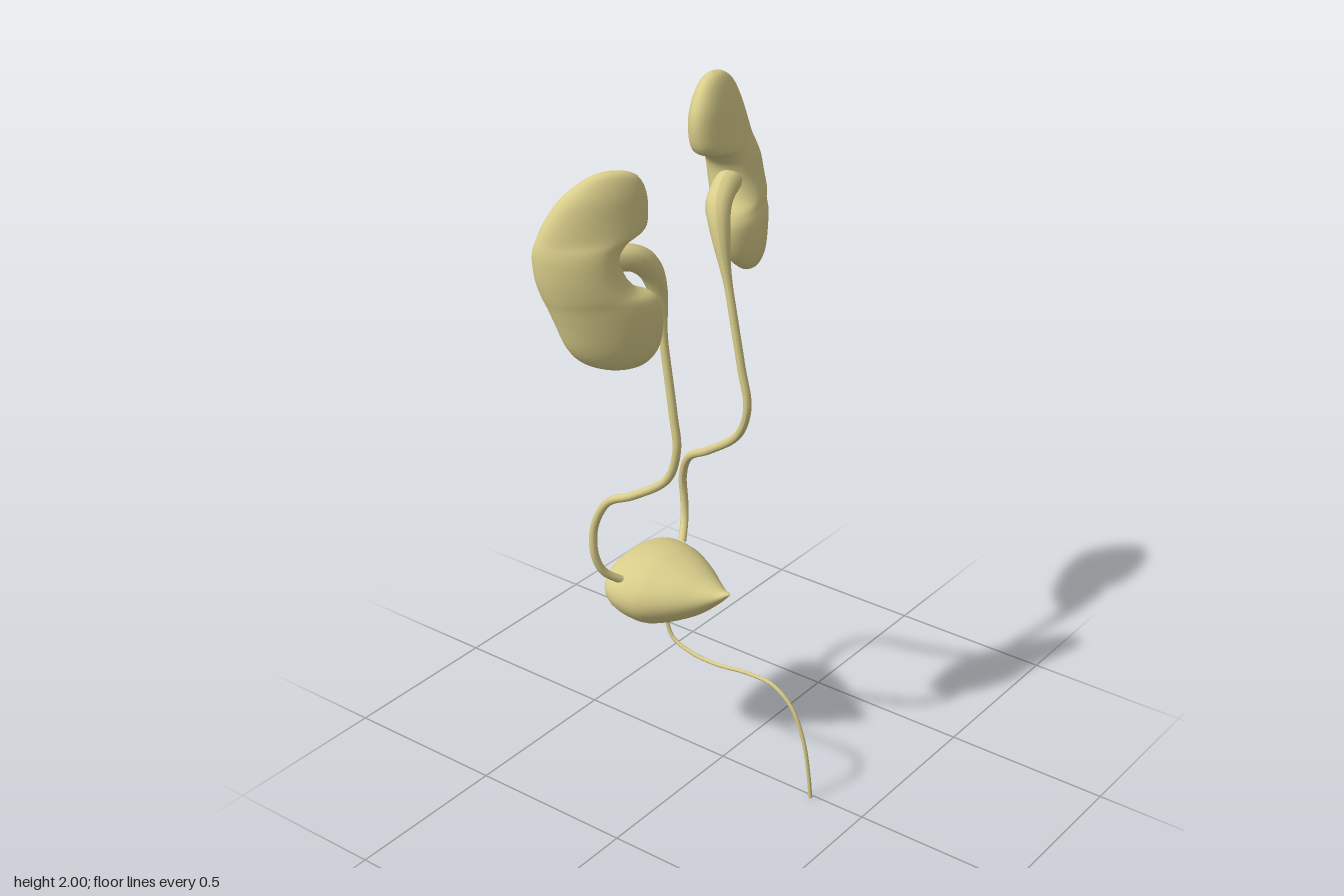
import * as THREE from 'three';

const V = (p) => new THREE.Vector3(...p);

// Closed smooth skin over elliptical slices [s, u0, u1, v centre, v half size].
// place(u, v, s) turns slice coordinates into a point.
function loft(rows, place, sub = 4, n = 36) {
  const size = new THREE.CatmullRomCurve3(rows.map((r) => V([r[0], r[1], r[2]])), false, 'catmullrom', 0.5);
  const depth = new THREE.CatmullRomCurve3(rows.map((r) => V([r[3], r[4], 0])), false, 'catmullrom', 0.5);
  const m = (rows.length - 1) * sub;
  const pos = [], idx = [];
  for (let i = 0; i <= m; i++) {
    const a = size.getPoint(i / m), d = depth.getPoint(i / m);
    for (let j = 0; j < n; j++) {
      const t = (j / n) * Math.PI * 2;
      const u = (a.y + a.z) / 2 + ((a.z - a.y) / 2) * Math.cos(t);
      pos.push(...place(u, d.x + Math.max(d.y, 0) * Math.sin(t), a.x));
      if (i < m) {
        const k = (j + 1) % n, b = i * n, c = b + n;
        idx.push(b + j, c + j, b + k, b + k, c + j, c + k);
      }
    }
  }
  const g = new THREE.BufferGeometry();
  g.setAttribute('position', new THREE.Float32BufferAttribute(pos, 3));
  g.setIndex(idx);
  g.computeVertexNormals();
  return g;
}

// Tube whose radius follows radiusAt(0..1) along its length
function taperedTube(points, radiusAt, seg = 100, sides = 14) {
  const curve = new THREE.CatmullRomCurve3(points.map(V));
  const g = new THREE.TubeGeometry(curve, seg, 1, sides);
  const p = g.attributes.position, q = new THREE.Vector3();
  for (let i = 0; i <= seg; i++) {
    const c = curve.getPointAt(i / seg);
    for (let j = 0; j <= sides; j++) {
      const k = i * (sides + 1) + j;
      q.fromBufferAttribute(p, k).sub(c).multiplyScalar(radiusAt(i / seg)).add(c);
      p.setXYZ(k, q.x, q.y, q.z);
    }
  }
  g.computeVertexNormals();
  return g;
}

// Slices from bottom to top: y, x0, x1, z centre, half depth
const LEFT_KIDNEY = [
  [1.45, 0.3, 0.3, -0.135, 0], [1.457, 0.262, 0.345, -0.138, 0.025],
  [1.49, 0.225, 0.39, -0.15, 0.05], [1.54, 0.197, 0.425, -0.17, 0.07],
  [1.59, 0.19, 0.448, -0.185, 0.08], [1.62, 0.205, 0.457, -0.2, 0.084],
  [1.645, 0.255, 0.462, -0.207, 0.085], [1.69, 0.272, 0.467, -0.222, 0.085],
  [1.74, 0.268, 0.465, -0.23, 0.082], [1.775, 0.235, 0.46, -0.238, 0.077],
  [1.8, 0.18, 0.455, -0.242, 0.073], [1.85, 0.163, 0.443, -0.248, 0.066],
  [1.91, 0.168, 0.418, -0.252, 0.055], [1.96, 0.2, 0.385, -0.255, 0.04],
  [1.99, 0.24, 0.335, -0.256, 0.022], [2.0, 0.285, 0.285, -0.256, 0],
];
const RIGHT_KIDNEY = [
  [1.36, -0.28, -0.28, -0.125, 0], [1.367, -0.33, -0.235, -0.127, 0.027],
  [1.395, -0.385, -0.2, -0.132, 0.05], [1.44, -0.418, -0.18, -0.14, 0.067],
  [1.51, -0.437, -0.172, -0.15, 0.08], [1.555, -0.448, -0.19, -0.157, 0.085],
  [1.585, -0.456, -0.24, -0.162, 0.086], [1.63, -0.464, -0.268, -0.168, 0.085],
  [1.68, -0.466, -0.27, -0.174, 0.083], [1.71, -0.463, -0.245, -0.178, 0.08],
  [1.735, -0.455, -0.19, -0.182, 0.076], [1.78, -0.435, -0.178, -0.183, 0.068],
  [1.835, -0.397, -0.184, -0.18, 0.056], [1.875, -0.35, -0.205, -0.175, 0.038],
  [1.894, -0.315, -0.24, -0.17, 0.02], [1.9, -0.28, -0.28, -0.168, 0],
];
// Slices from front tip to back: z, x0, x1, y centre, half height
const BLADDER = [
  [0.036, -0.012, -0.012, 0.58, 0], [0.025, -0.022, -0.002, 0.576, 0.008],
  [0, -0.042, 0.018, 0.562, 0.021], [-0.05, -0.083, 0.059, 0.546, 0.05],
  [-0.1, -0.122, 0.098, 0.539, 0.074], [-0.16, -0.16, 0.136, 0.533, 0.095],
  [-0.2, -0.177, 0.153, 0.533, 0.102], [-0.25, -0.185, 0.161, 0.54, 0.095],
  [-0.29, -0.177, 0.153, 0.55, 0.08], [-0.315, -0.148, 0.124, 0.562, 0.057],
  [-0.328, -0.09, 0.066, 0.57, 0.03], [-0.333, -0.012, -0.012, 0.572, 0],
];

const LEFT_URETER = [
  [0.31, 1.7, -0.2], [0.25, 1.685, -0.185], [0.2, 1.655, -0.165], [0.17, 1.58, -0.135],
  [0.153, 1.42, -0.09], [0.145, 1.22, -0.045], [0.144, 1.1, -0.022], [0.152, 1, -0.06],
  [0.17, 0.905, -0.18], [0.185, 0.85, -0.265], [0.198, 0.77, -0.298], [0.2, 0.69, -0.295],
  [0.18, 0.63, -0.28], [0.13, 0.59, -0.25],
];
const RIGHT_URETER = [
  [-0.3, 1.67, -0.14], [-0.24, 1.66, -0.115], [-0.195, 1.625, -0.1], [-0.166, 1.55, -0.09],
  [-0.168, 1.4, -0.07], [-0.176, 1.2, -0.035], [-0.179, 1.1, -0.022], [-0.18, 1, -0.055],
  [-0.19, 0.915, -0.17], [-0.2, 0.87, -0.255], [-0.208, 0.78, -0.3], [-0.21, 0.69, -0.3],
  [-0.19, 0.63, -0.285], [-0.145, 0.59, -0.255],
];
const URETHRA = [
  [-0.012, 0.45, -0.2], [-0.012, 0.405, -0.197], [-0.012, 0.358, -0.175], [-0.012, 0.332, -0.11],
  [-0.012, 0.326, -0.02], [-0.012, 0.34, 0.1], [-0.012, 0.334, 0.19], [-0.012, 0.285, 0.255],
  [-0.012, 0.19, 0.298], [-0.012, 0.08, 0.319], [-0.012, 0, 0.328],
];

export function createModel() {
  const model = new THREE.Group();
  model.name = 'urinarySystem';
  const tissue = new THREE.MeshStandardMaterial({ color: 0xd9cd8a });
  tissue.name = 'paleYellowTissue';
  const add = (name, geometry) => {
    const mesh = new THREE.Mesh(geometry, tissue);
    mesh.name = name;
    model.add(mesh);
    return mesh;
  };

  // Kidneys, each turned a little in plan by skewing z along x
  add('leftKidney', loft(LEFT_KIDNEY, (u, v, s) => [u, s, v - 0.2 * (u - 0.315)]));
  add('rightKidney', loft(RIGHT_KIDNEY, (u, v, s) => [u, s, v + 0.43 * (u + 0.32)]));

  // Ureters, flared where they leave the kidneys
  const flare = (t) => 0.012 + 0.025 * (1 - THREE.MathUtils.smoothstep(t, 0.06, 0.27));
  add('leftUreter', taperedTube(LEFT_URETER, flare));
  add('rightUreter', taperedTube(RIGHT_URETER, flare));

  // Bladder, pointed at the front
  add('bladder', loft(BLADDER, (u, v, s) => [u, v, s]));

  // Urethra with a closed lower end
  add('urethra', taperedTube(URETHRA, () => 0.006, 80, 10));
  const end = add('urethraEnd', new THREE.CircleGeometry(0.006, 10));
  end.rotation.x = Math.PI / 2;
  end.position.set(-0.012, 0, 0.328);

  return model;
}
